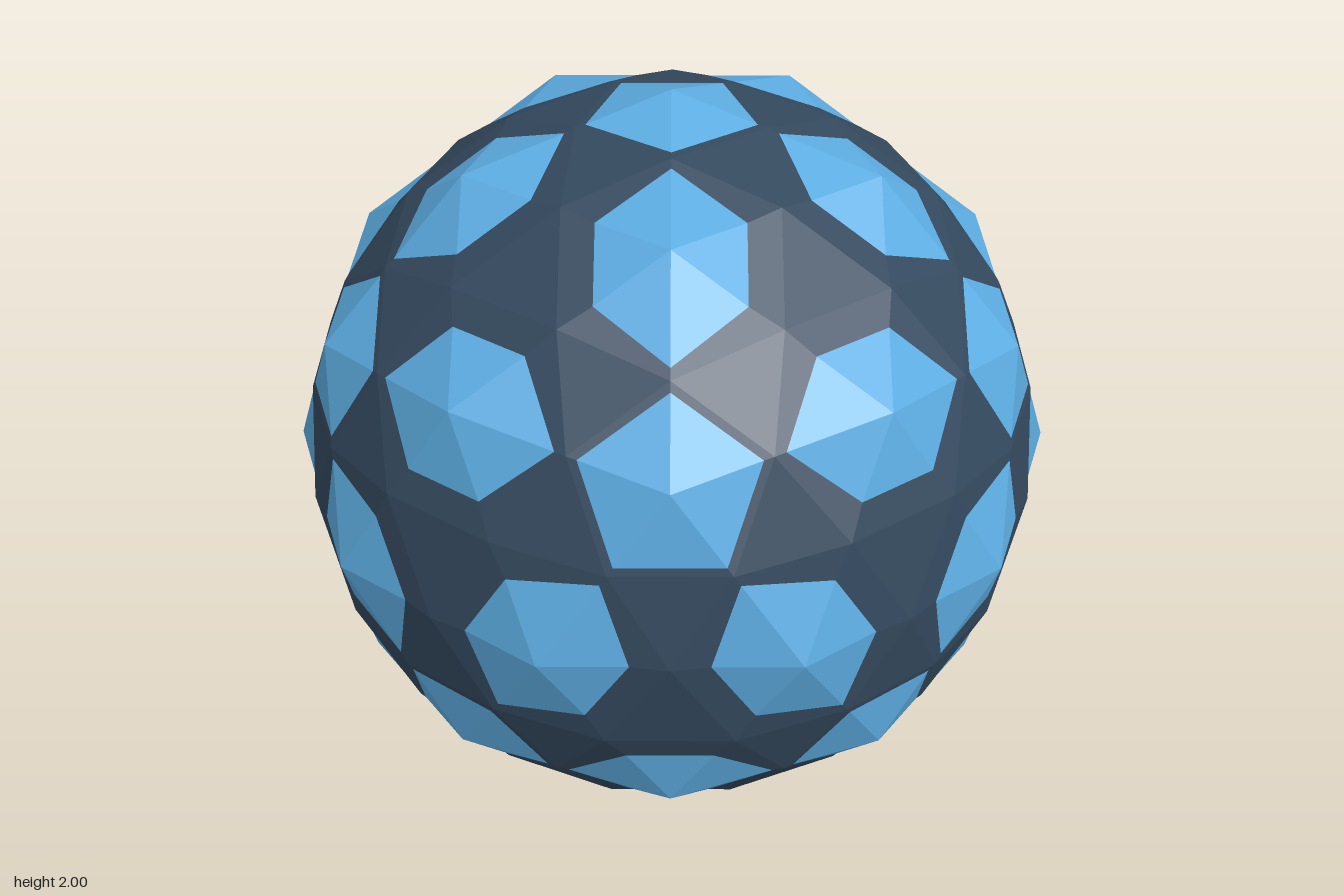
import * as THREE from 'three';

const flat = (color) => new THREE.MeshStandardMaterial({ color, flatShading: true });

// Geodesic ball turned so that one five-sided corner points straight up
function geodesic(name, radius, detail, material) {
  const geo = new THREE.IcosahedronGeometry(radius, detail);
  geo.rotateZ(-Math.atan(2 / (1 + Math.sqrt(5))));
  const mesh = new THREE.Mesh(geo, material);
  mesh.name = name;
  mesh.position.y = 1;
  return mesh;
}

// Small five-sided disc on a pin
function createStud() {
  const stud = new THREE.Group();
  stud.name = 'stud';
  const material = flat(0x1abc9c);
  const disc = new THREE.Mesh(new THREE.CylinderGeometry(0.042, 0.042, 0.016, 5), material);
  disc.name = 'studDisc';
  const pin = new THREE.Mesh(new THREE.CylinderGeometry(0.014, 0.014, 0.06, 5), material);
  pin.name = 'studPin';
  stud.add(disc, pin);
  stud.position.set(0.625, 1.64, -0.41);
  stud.quaternion.setFromUnitVectors(
    new THREE.Vector3(0, 1, 0),
    new THREE.Vector3(-0.5, 0.7, 0.5).normalize()
  );
  return stud;
}

export function createModel() {
  const model = new THREE.Group();
  model.name = 'panelledBall';
  // The coarse ball's corners poke through the finer core as raised panels
  model.add(geodesic('raisedPanels', 1, 1, flat(0x5dade2)));
  model.add(geodesic('darkCore', 0.966, 3, flat(0x34495e)));
  model.add(createStud());
  return model;
}
